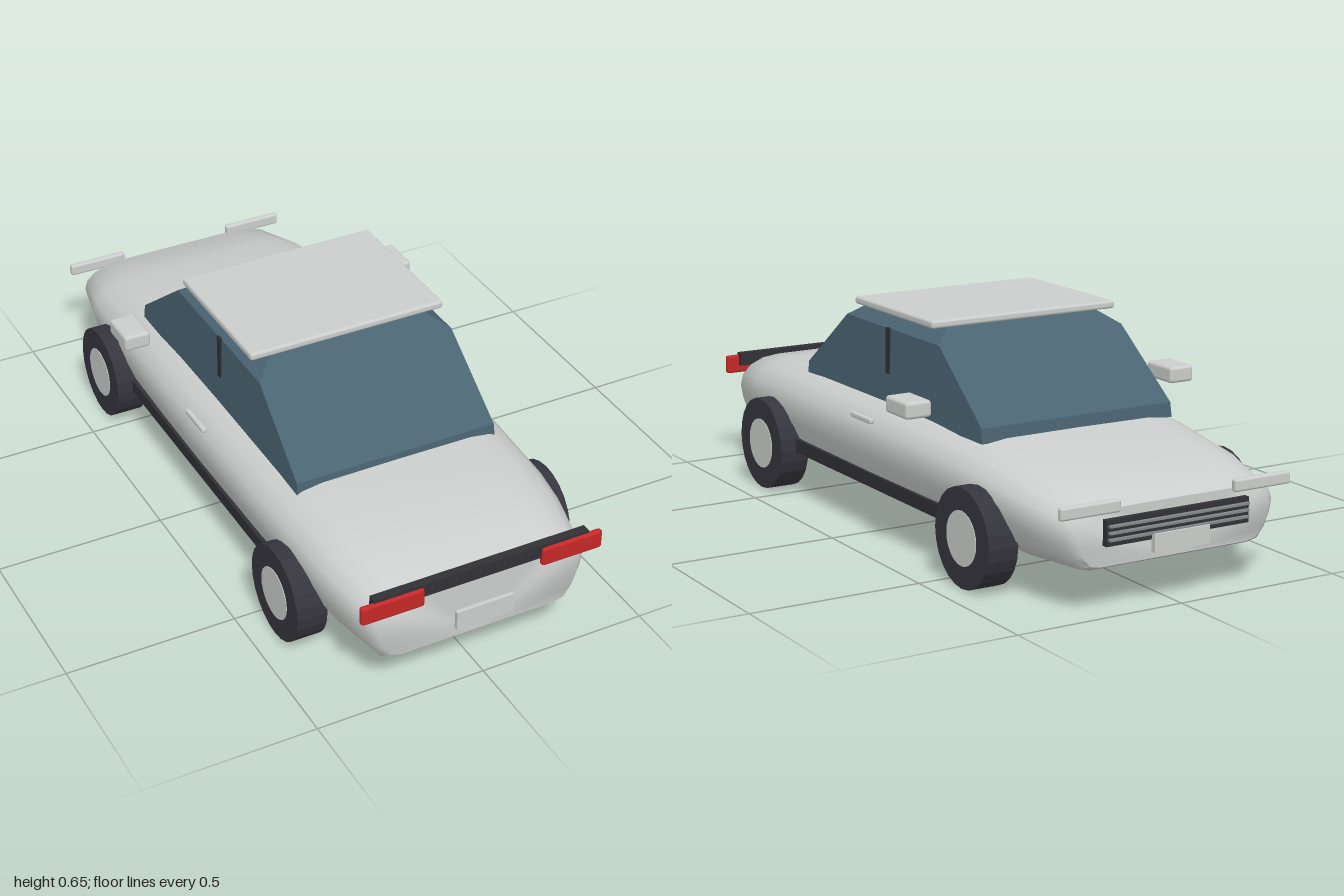
import * as THREE from 'three';
import { mergeVertices, toCreasedNormals } from 'three/addons/utils/BufferGeometryUtils.js';
import { RoundedBoxGeometry } from 'three/addons/geometries/RoundedBoxGeometry.js';

// Skin a list of equal-length rings (counter-clockwise about the sweep axis) and cap both ends
function loft(rings, crease) {
  const n = rings[0].length, pos = [], idx = [];
  rings.forEach(r => r.forEach(p => pos.push(...p)));
  for (let i = 0; i < rings.length - 1; i++) {
    for (let j = 0; j < n; j++) {
      const k = (j + 1) % n, a = i * n, b = a + n;
      idx.push(a + j, a + k, b + k, a + j, b + k, b + j);
    }
  }
  const last = (rings.length - 1) * n;
  for (let j = 1; j < n - 1; j++) {
    idx.push(0, j + 1, j);
    idx.push(last, last + j, last + j + 1);
  }
  const g = new THREE.BufferGeometry();
  g.setAttribute('position', new THREE.Float32BufferAttribute(pos, 3));
  g.setIndex(idx);
  return toCreasedNormals(mergeVertices(g), crease);
}

export function createModel() {
  const car = new THREE.Group();
  car.name = 'car';
  const mat = (name, color) => {
    const m = new THREE.MeshStandardMaterial({ color });
    m.name = name;
    return m;
  };
  const paint = mat('silver paint', 0xcbcecc);
  const glass = mat('tinted glass', 0x4a6472);
  const rubber = mat('black rubber', 0x36353e);
  const trim = mat('dark trim', 0x303036);
  const red = mat('red lens', 0xc62828);
  const chrome = mat('slat grey', 0x85888a);

  const add = (name, geometry, material, x = 0, y = 0, z = 0) => {
    const m = new THREE.Mesh(geometry, material);
    m.name = name;
    m.position.set(x, y, z);
    car.add(m);
    return m;
  };
  // Box given by its min/max extents, optionally with rounded edges
  const block = (name, material, [x0, x1], [y0, y1], [z0, z1], r = 0) => {
    const s = [x1 - x0, y1 - y0, z1 - z0];
    const g = r ? new RoundedBoxGeometry(...s, 2, r) : new THREE.BoxGeometry(...s);
    return add(name, g, material, (x0 + x1) / 2, (y0 + y1) / 2, (z0 + z1) / 2);
  };

  // Body shell: one half profile scaled along the length
  const half = [[0, 0], [0.76, 0], [0.86, 0.04], [0.93, 0.2], [0.98, 0.42], [1, 0.6],
    [0.975, 0.75], [0.89, 0.88], [0.76, 0.965], [0.6, 0.995], [0, 1]];
  const profile = [...half, ...half.slice(1, -1).reverse().map(([u, v]) => [-u, v])];
  // z, half width, bottom, top
  const stations = [
    [-0.965, 0.305, 0.125, 0.278], [-0.945, 0.328, 0.115, 0.295], [-0.77, 0.37, 0.113, 0.333],
    [-0.5, 0.387, 0.113, 0.37], [-0.25, 0.393, 0.113, 0.383], [0, 0.395, 0.113, 0.386],
    [0.4, 0.391, 0.113, 0.386], [0.66, 0.38, 0.113, 0.38], [0.77, 0.369, 0.113, 0.364],
    [0.945, 0.33, 0.115, 0.333], [0.965, 0.308, 0.125, 0.317]];
  add('body', loft(stations.map(([z, w, b, t]) =>
    profile.map(([u, v]) => [u * w, b + v * (t - b), z])), 0.8), paint);

  // Cabin glass: y, half width, half length
  const levels = [[0.36, 0.31, 0.51], [0.402, 0.308, 0.505], [0.585, 0.301, 0.268], [0.626, 0.243, 0.215]];
  add('cabinGlass', loft(levels.map(([y, w, l]) =>
    [[w, y, l], [w, y, -l], [-w, y, -l], [-w, y, l]]), 0.1), glass);
  block('roof', paint, [-0.302, 0.302], [0.624, 0.647], [-0.233, 0.218], 0.008);

  // Parts on both sides
  for (const s of [1, -1]) {
    const side = s > 0 ? 'left' : 'right';
    const span = (a, b) => (s > 0 ? [a, b] : [-b, -a]);
    block(side + 'DoorPillar', trim, span(0.295, 0.306), [0.375, 0.587], [0.005, 0.028]);
    block(side + 'Sill', trim, span(0.33, 0.378), [0.135, 0.175], [-0.52, 0.52]);
    block(side + 'DoorHandle', paint, span(0.378, 0.394), [0.326, 0.342], [-0.035, 0.082], 0.005);
    block(side + 'Mirror', paint, span(0.392, 0.472), [0.42, 0.468], [-0.388, -0.268], 0.01);
    block(side + 'TailLight', red, span(0.178, 0.365), [0.28, 0.337], [0.966, 0.985], 0.008);
    block(side + 'Headlight', paint, span(0.18, 0.363), [0.268, 0.303], [-0.983, -0.962], 0.007);

    // Wheels with a flat hub disc
    for (const [end, z] of [['Front', -0.6], ['Rear', 0.603]]) {
      const tyre = add(side + end + 'Tyre', toCreasedNormals(
        new THREE.CylinderGeometry(0.139, 0.139, 0.09, 24), 0.1), rubber, s * 0.382, 0.14, z);
      const hub = add(side + end + 'Hub',
        new THREE.CylinderGeometry(0.076, 0.076, 0.006, 24), paint, s * 0.426, 0.14, z);
      tyre.rotation.z = hub.rotation.z = Math.PI / 2;
    }
  }

  // Tail
  block('tailPanel', trim, [-0.325, 0.325], [0.305, 0.345], [0.95, 0.976]);
  block('rearPlate', paint, [-0.087, 0.087], [0.175, 0.232], [0.986, 0.998]);

  // Nose
  block('grille', trim, [-0.225, 0.225], [0.182, 0.252], [-0.982, -0.955]);
  for (let i = 0; i < 3; i++) {
    const y = 0.2 + i * 0.018;
    block('grilleSlat' + (i + 1), chrome, [-0.22, 0.22], [y - 0.003, y + 0.003], [-0.993, -0.98]);
  }
  block('frontPlate', paint, [-0.087, 0.087], [0.15, 0.2], [-1, -0.985]);
  return car;
}
